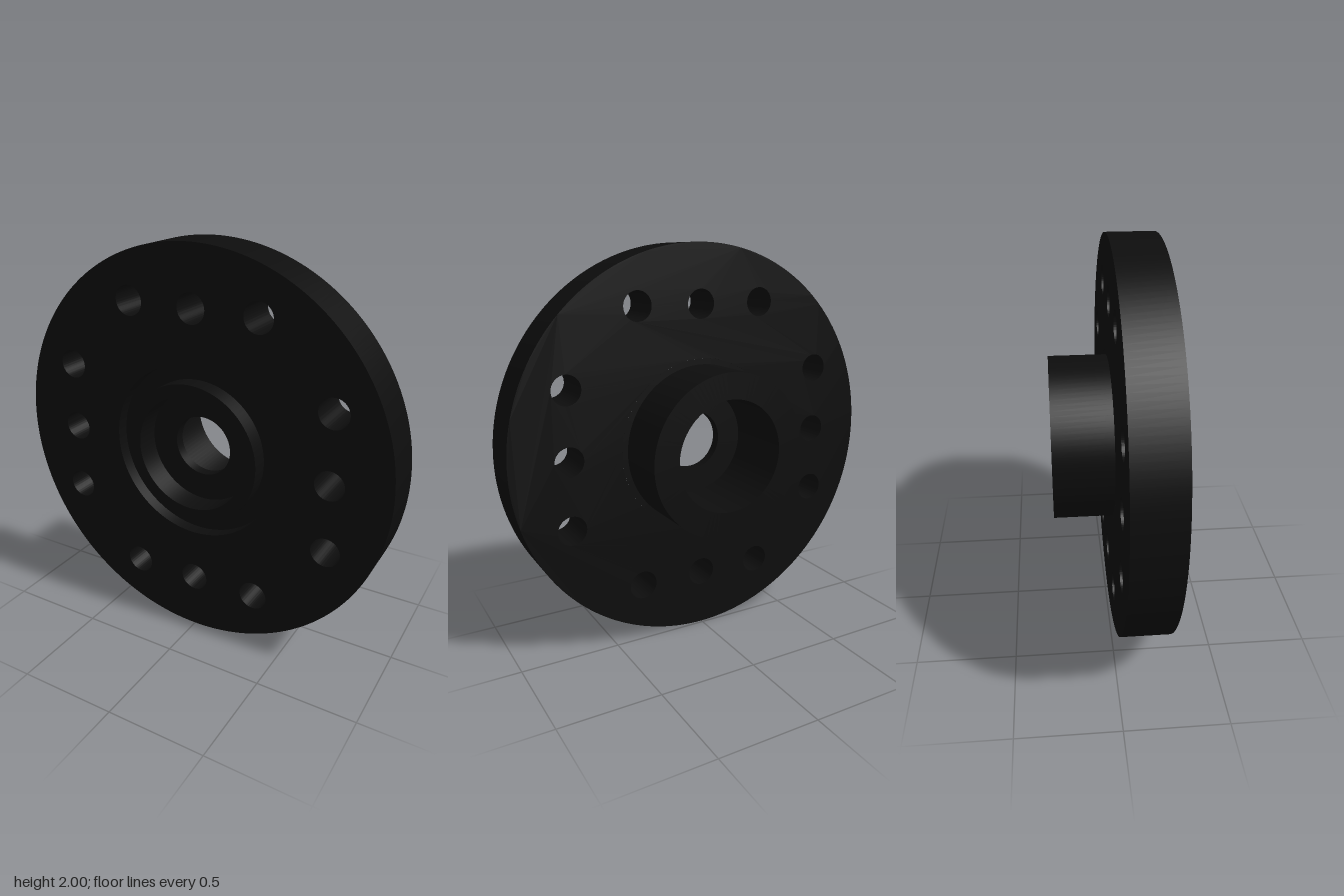
import * as THREE from 'three';
import { mergeGeometries, toCreasedNormals } from 'three/addons/utils/BufferGeometryUtils.js';

const BACK = 0.013, FRONT = 0.252; // flange faces along z

function circle(Type, x, y, r) {
  const path = new Type();
  path.absarc(x, y, r, 0, Math.PI * 2, false);
  return path;
}

// Revolves each profile segment separately so the machined edges stay sharp
function turned(profile) {
  const rings = [];
  for (let i = 0; i < profile.length - 1; i++) {
    const pts = [profile[i], profile[i + 1]].map(([r, z]) => new THREE.Vector2(r, z));
    rings.push(new THREE.LatheGeometry(pts, 96));
  }
  return mergeGeometries(rings).rotateX(Math.PI / 2);
}

export function createModel() {
  const group = new THREE.Group();
  group.name = 'flangedHub';
  const black = new THREE.MeshStandardMaterial({ color: 0x0d0d0d });
  black.name = 'black';

  function add(name, geometry) {
    const mesh = new THREE.Mesh(geometry, black);
    mesh.name = name;
    mesh.position.y = 1;
    group.add(mesh);
  }

  // Flange disc with three bolt holes on each of four sides
  const disc = circle(THREE.Shape, 0, 0, 1);
  disc.holes.push(circle(THREE.Path, 0, 0, 0.44));
  for (const side of [-0.707, 0.707]) {
    for (const offset of [-0.341, 0, 0.341]) {
      disc.holes.push(circle(THREE.Path, offset, side, 0.073));
      disc.holes.push(circle(THREE.Path, side, offset, 0.073));
    }
  }
  const flange = new THREE.ExtrudeGeometry(disc, {
    depth: FRONT - BACK, bevelEnabled: false, curveSegments: 96,
  });
  flange.translate(0, 0, BACK);
  add('flange', toCreasedNormals(flange, 0.6));

  // Rear boss, inner web with the centre bore, front lip and the groove round it
  add('hub', turned([
    [0.28, -0.278], [0.41, -0.278], [0.41, BACK], [0.44, BACK],
  ]));
  add('frontLip', turned([
    [0.44, 0.19], [0.355, 0.19], [0.355, 0.278], [0.29, 0.278], [0.29, 0.153],
  ]));
  add('boreWeb', turned([
    [0.29, 0.153], [0.153, 0.153], [0.153, 0.1], [0.28, 0.1], [0.28, -0.278],
  ]));
  return group;
}
